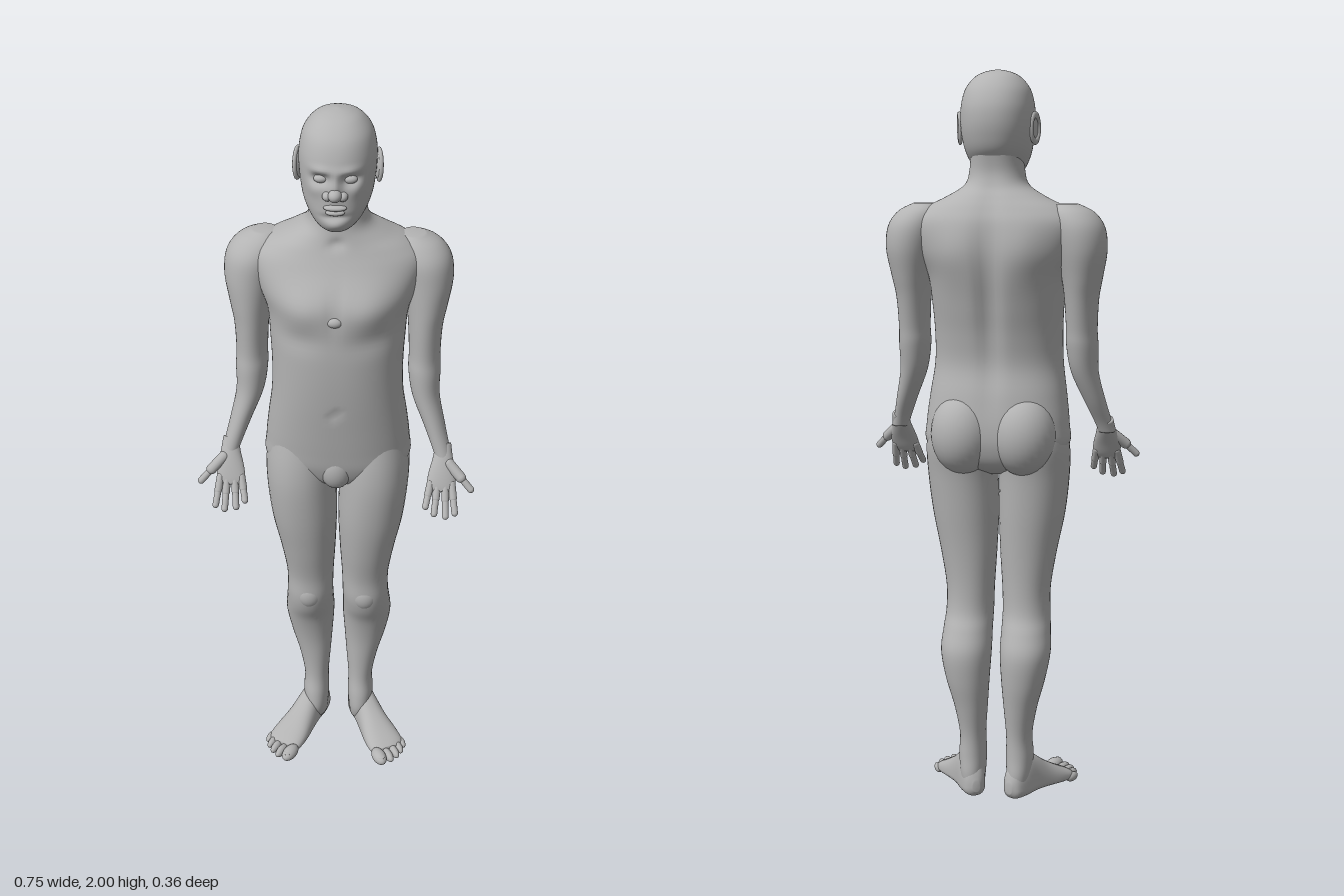
import * as THREE from 'three';

const skin = new THREE.MeshStandardMaterial({ color: 0xb3b3b3 });
skin.name = 'grey skin';

const add = (group, name, geometry) => {
  const mesh = new THREE.Mesh(geometry, skin);
  mesh.name = name;
  group.add(mesh);
  return mesh;
};

// Catmull-Rom between rows of numbers
const spline = (a, b, c, d, t) => b + 0.5 * t * (c - a + t * (2 * a - 5 * b + 4 * c - d + t * (3 * (b - c) + d - a)));

// Smooth loft through level sections [y, centreX, halfWidth, midZ, frontZ, backZ], rising in y.
// Swells are soft local pushes [position, reach, push], mirrored when off centre.
function loft(rows, { side = 1, power = 2, swells = [], around = 40, steps = 5 } = {}) {
  const pos = [], idx = [];
  const pushes = swells.flatMap(([p, r, d]) => p[0] === 0 ? [[p, r, d]]
    : [[p, r, d], [[-p[0], p[1], p[2]], r, [-d[0], d[1], d[2]]]]);
  const at = i => rows[Math.min(Math.max(i, 0), rows.length - 1)];
  const rings = (rows.length - 1) * steps + 1;
  for (let k = 0; k < rings; k++) {
    const i = Math.min(Math.floor(k / steps), rows.length - 2), t = k / steps - i;
    const [y, cx, w, mid, front, back] = at(i).map((v, c) => spline(at(i - 1)[c], v, at(i + 1)[c], at(i + 2)[c], t));
    for (let j = 0; j < around; j++) {
      const a = j / around * Math.PI * 2, c = Math.cos(a), s = Math.sin(a);
      const round = v => Math.sign(v) * Math.abs(v) ** (2 / power);
      const p = [cx * side + w * round(c), y, mid + (s > 0 ? front - mid : mid - back) * round(s)];
      const q = [...p];
      for (const [o, r, d] of pushes) {
        const f = Math.exp(-o.reduce((sum, v, n) => sum + ((p[n] - v) / r[n]) ** 2, 0));
        d.forEach((v, n) => { q[n] += v * f; });
      }
      pos.push(...q);
    }
  }
  for (let k = 0; k < rings - 1; k++) {
    for (let j = 0; j < around; j++) {
      const a = k * around + j, b = k * around + (j + 1) % around;
      idx.push(a, a + around, b, b, a + around, b + around);
    }
  }
  // end caps
  const first = rows[0], last = rows[rows.length - 1], n = rings * around;
  for (const r of [first, last]) pos.push(r[1] * side, r[0], (r[4] + r[5]) / 2);
  for (let j = 0; j < around; j++) {
    const m = (j + 1) % around, top = (rings - 1) * around;
    idx.push(n, j, m, n + 1, top + m, top + j);
  }
  const g = new THREE.BufferGeometry();
  g.setAttribute('position', new THREE.Float32BufferAttribute(pos, 3));
  g.setIndex(idx);
  g.computeVertexNormals();
  return g;
}

const blob = (x, y, z, rx, ry, rz) => new THREE.SphereGeometry(1, 28, 20).scale(rx, ry, rz).translate(x, y, z);

// Rounded rod between two points
function rod(from, to, r) {
  const a = new THREE.Vector3(...from), b = new THREE.Vector3(...to), dir = b.clone().sub(a);
  const g = new THREE.CapsuleGeometry(r, dir.length(), 6, 14);
  g.applyQuaternion(new THREE.Quaternion().setFromUnitVectors(new THREE.Vector3(0, 1, 0), dir.normalize()));
  return g.translate(...a.add(b).multiplyScalar(0.5).toArray());
}

function makeHead() {
  const g = new THREE.Group();
  g.name = 'head';
  add(g, 'skull', loft([
    [1.71, 0, 0.006, 0.03, 0.05, 0], [1.715, 0, 0.035, 0.02, 0.085, -0.03], [1.73, 0, 0.057, 0.01, 0.102, -0.06],
    [1.757, 0, 0.075, 0, 0.108, -0.09], [1.79, 0, 0.088, -0.01, 0.107, -0.12], [1.83, 0, 0.095, -0.02, 0.105, -0.135],
    [1.87, 0, 0.098, -0.02, 0.104, -0.141], [1.91, 0, 0.096, -0.02, 0.098, -0.137], [1.95, 0, 0.085, -0.02, 0.08, -0.119],
    [1.98, 0, 0.061, -0.02, 0.048, -0.09], [1.994, 0, 0.034, -0.02, 0.016, -0.057], [2, 0, 0.004, -0.02, -0.016, -0.024],
  ], {
    power: 2.15, around: 80, steps: 8, swells: [
      [[0.036, 1.858, 0.09], [0.022, 0.014, 0.05], [0, 0, -0.018]],   // eye sockets
      [[0.035, 1.882, 0.09], [0.028, 0.011, 0.05], [0, 0, 0.007]],    // brow
      [[0, 1.845, 0.105], [0.014, 0.03, 0.05], [0, 0, 0.013]],        // nose bridge
      [[0.055, 1.83, 0.08], [0.022, 0.02, 0.05], [0, 0, 0.006]],      // cheeks
      [[0, 1.763, 0.108], [0.03, 0.008, 0.05], [0, 0, -0.008]],       // crease under the lip
      [[0, 1.742, 0.105], [0.026, 0.014, 0.05], [0, 0, 0.006]],       // chin
    ],
  }));
  add(g, 'noseTip', blob(0, 1.825, 0.114, 0.017, 0.016, 0.019));
  add(g, 'upperLip', blob(0, 1.79, 0.106, 0.029, 0.008, 0.013));
  add(g, 'lowerLip', blob(0, 1.777, 0.105, 0.024, 0.008, 0.012));
  for (const s of [1, -1]) {
    add(g, 'nostril', blob(s * 0.019, 1.82, 0.104, 0.013, 0.012, 0.016));
    add(g, 'eyelid', blob(s * 0.036, 1.857, 0.082, 0.018, 0.011, 0.013));
    // ear: shell with a raised rim
    const ear = new THREE.Group();
    ear.name = 'ear';
    ear.position.set(s * 0.098, 1.848, -0.03);
    ear.rotation.set(-0.15, s * 0.3, 0);
    add(ear, 'earShell', blob(0, 0, 0, 0.007, 0.036, 0.022));
    add(ear, 'earRim', new THREE.TorusGeometry(0.02, 0.0055, 10, 28).rotateY(Math.PI / 2).scale(1, 1.75, 1.1).translate(s * 0.004, 0, 0));
    g.add(ear);
  }
  return g;
}

function makeTorso() {
  const g = new THREE.Group();
  g.name = 'torso';
  add(g, 'trunk', loft([
    [0.92, 0, 0.03, -0.02, 0.02, -0.06], [0.95, 0, 0.12, -0.02, 0.075, -0.12], [1.0, 0, 0.194, -0.02, 0.098, -0.145],
    [1.06, 0, 0.196, -0.02, 0.108, -0.15], [1.14, 0, 0.187, -0.01, 0.118, -0.14], [1.22, 0, 0.176, 0, 0.127, -0.125],
    [1.3, 0, 0.174, -0.005, 0.133, -0.135], [1.38, 0, 0.178, -0.015, 0.135, -0.154], [1.46, 0, 0.186, -0.03, 0.133, -0.17],
    [1.53, 0, 0.212, -0.045, 0.122, -0.175], [1.6, 0, 0.225, -0.05, 0.085, -0.168], [1.64, 0, 0.19, -0.05, 0.066, -0.152],
    [1.67, 0, 0.132, -0.045, 0.056, -0.134], [1.7, 0, 0.086, -0.035, 0.05, -0.115], [1.74, 0, 0.073, -0.03, 0.046, -0.106],
    [1.8, 0, 0.07, -0.03, 0.04, -0.115],
  ], {
    power: 2.25, around: 80, swells: [
      [[0.085, 1.505, 0.12], [0.065, 0.05, 0.08], [0, 0, 0.014]],     // chest muscles
      [[0.1, 1.42, 0.13], [0.07, 0.03, 0.06], [0, 0, -0.006]],        // crease below chest
      [[0, 1.51, 0.12], [0.014, 0.06, 0.08], [0, 0, -0.006]],         // breastbone groove
      [[0, 1.4, -0.16], [0.028, 0.23, 0.08], [0, 0, 0.02]],           // spine groove
      [[0.09, 1.53, -0.16], [0.06, 0.08, 0.07], [0, 0, -0.012]],      // shoulder blades
      [[0, 1.2, 0.13], [0.012, 0.012, 0.04], [0, 0, -0.008]],         // navel
      [[0, 1.665, 0.06], [0.018, 0.015, 0.04], [0, 0, -0.008]],       // throat notch
    ],
  }));
  add(g, 'breastboneKnob', blob(0, 1.482, 0.128, 0.02, 0.014, 0.013));
  add(g, 'groin', blob(0, 1.0, 0.07, 0.045, 0.062, 0.038));
  for (const s of [1, -1]) add(g, 'buttock', blob(s * 0.084, 1.035, -0.085, 0.088, 0.112, 0.09));
  return g;
}

function makeArm(s) {
  const g = new THREE.Group();
  g.name = s > 0 ? 'leftArm' : 'rightArm';
  add(g, 'arm', loft([
    [1.03, 0.291, 0.022, 0.045, 0.068, 0.022], [1.06, 0.282, 0.024, 0.036, 0.061, 0.008], [1.12, 0.262, 0.029, 0.012, 0.05, -0.025],
    [1.2, 0.237, 0.037, -0.01, 0.038, -0.058], [1.27, 0.231, 0.043, -0.02, 0.035, -0.078], [1.32, 0.23, 0.042, -0.028, 0.031, -0.086],
    [1.4, 0.23, 0.046, -0.035, 0.034, -0.104], [1.46, 0.232, 0.055, -0.042, 0.035, -0.12], [1.53, 0.231, 0.068, -0.05, 0.032, -0.136],
    [1.59, 0.221, 0.072, -0.053, 0.024, -0.136], [1.63, 0.205, 0.06, -0.055, 0.0, -0.118], [1.652, 0.192, 0.03, -0.058, -0.03, -0.088],
  ], { side: s }));

  // hand with the palm to the front and the thumb outward
  const hand = new THREE.Group();
  hand.name = 'hand';
  hand.position.set(s * 0.289, 1.05, 0.04);
  hand.rotation.x = -0.5;
  add(hand, 'palm', loft([
    [-0.113, -0.003, 0.028, 0, 0.008, -0.008], [-0.095, -0.003, 0.038, 0, 0.012, -0.012], [-0.06, 0, 0.037, 0, 0.016, -0.014],
    [-0.02, 0, 0.027, 0, 0.018, -0.018], [0.02, 0, 0.021, 0, 0.018, -0.02],
  ], { side: s }));
  [[-0.031, -0.043, -0.155], [-0.012, -0.019, -0.174], [0.008, 0.012, -0.18], [0.026, 0.037, -0.17]].forEach(([x, tip, y]) => {
    const knuckle = [s * (x + tip) / 2, (y - 0.09) / 2, 0.002];
    add(hand, 'fingerBase', rod([s * x, -0.09, 0], knuckle, 0.0105));
    add(hand, 'fingerTip', rod(knuckle, [s * tip, y, 0.008], 0.009));
  });
  add(hand, 'thumbBase', rod([s * 0.017, -0.035, 0.006], [s * 0.05, -0.072, 0.01], 0.0145));
  add(hand, 'thumbTip', rod([s * 0.05, -0.072, 0.01], [s * 0.078, -0.104, 0.008], 0.0095));
  g.add(hand);
  return g;
}

function makeLeg(s) {
  const g = new THREE.Group();
  g.name = s > 0 ? 'leftLeg' : 'rightLeg';
  add(g, 'leg', loft([
    [0.03, 0.064, 0.03, -0.055, 0, -0.1], [0.07, 0.066, 0.035, -0.05, 0.015, -0.104], [0.12, 0.067, 0.038, -0.045, 0.012, -0.1],
    [0.18, 0.066, 0.036, -0.05, 0.001, -0.101], [0.26, 0.07, 0.046, -0.055, 0, -0.115], [0.34, 0.078, 0.06, -0.06, 0.005, -0.13],
    [0.42, 0.083, 0.07, -0.055, 0.022, -0.135], [0.48, 0.082, 0.068, -0.035, 0.048, -0.115], [0.53, 0.08, 0.066, -0.015, 0.06, -0.094],
    [0.6, 0.079, 0.067, -0.012, 0.062, -0.089], [0.7, 0.084, 0.078, -0.01, 0.081, -0.094], [0.81, 0.093, 0.091, -0.005, 0.098, -0.105],
    [0.92, 0.1, 0.096, -0.01, 0.105, -0.116], [1.0, 0.101, 0.096, -0.02, 0.1, -0.13], [1.08, 0.1, 0.085, -0.02, 0.085, -0.125],
  ], { side: s, power: 2.1 }));
  add(g, 'kneecap', blob(s * 0.08, 0.535, 0.035, 0.036, 0.045, 0.029));

  // foot turned outward, lofted from heel to toes
  const foot = new THREE.Group();
  foot.name = 'foot';
  foot.position.set(s * 0.066, 0, -0.055);
  foot.rotation.y = s * 0.47;
  add(foot, 'sole', loft([
    [-0.053, 0.004, 0.01, -0.035, -0.02, -0.05], [-0.038, 0.004, 0.028, -0.03, -0.004, -0.09], [0, 0.003, 0.037, -0.03, -0.001, -0.125],
    [0.045, 0.003, 0.039, -0.03, -0.003, -0.115], [0.09, 0.004, 0.045, -0.025, -0.003, -0.085], [0.14, 0.006, 0.053, -0.02, -0.001, -0.057],
    [0.18, 0.007, 0.053, -0.016, -0.001, -0.038], [0.2, 0.002, 0.042, -0.014, -0.005, -0.028],
  ], { side: s, power: 2.3 }).rotateX(Math.PI / 2));
  [[-0.034, 0.216, 0.02, 0.019, 0.034], [-0.005, 0.218, 0.0125, 0.015, 0.029], [0.018, 0.21, 0.012, 0.0145, 0.028],
    [0.038, 0.198, 0.0115, 0.014, 0.026], [0.055, 0.18, 0.0115, 0.013, 0.024]].forEach(([x, z, rx, ry, rz]) => {
    add(foot, 'toe', blob(s * x, ry, z, rx, ry, rz));
  });
  add(foot, 'bigToenail', blob(s * -0.034, 0.031, 0.232, 0.011, 0.004, 0.011));
  g.add(foot);
  return g;
}

export function createModel() {
  const model = new THREE.Group();
  model.name = 'standingFigure';
  model.add(makeHead(), makeTorso());
  for (const s of [1, -1]) model.add(makeArm(s), makeLeg(s));
  return model;
}
